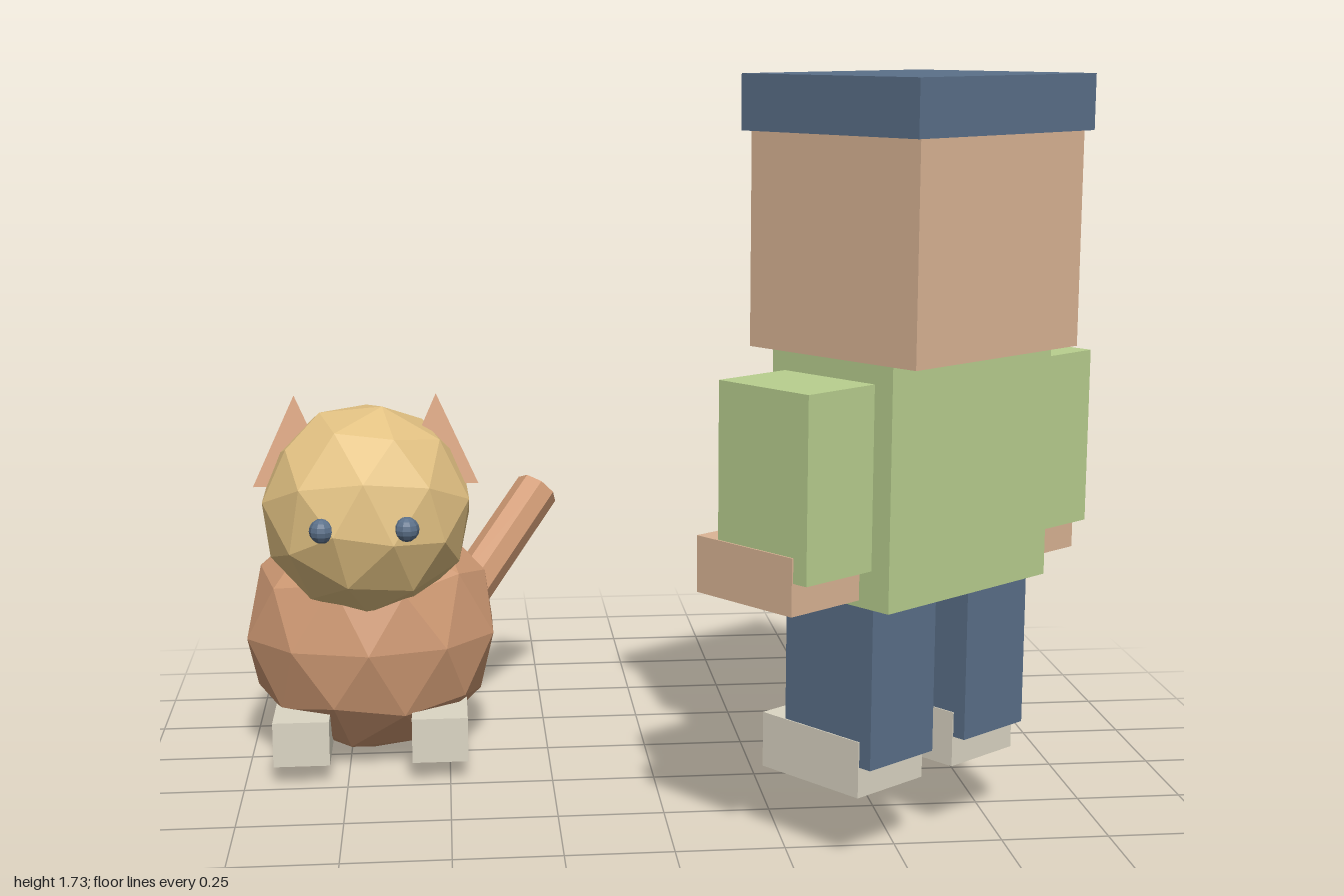
import * as THREE from 'three';

const mat = (color) => new THREE.MeshStandardMaterial({ color, flatShading: true });
const navy = mat(0x5b7089);
const skin = mat(0xdbb595);
const green = mat(0xb9d08f);
const cream = mat(0xdcd6c4);
const fur = mat(0xd09a74);
const faceFur = mat(0xe3c283);

function add(parent, name, geometry, material, x, y, z) {
  const mesh = new THREE.Mesh(geometry, material);
  mesh.name = name;
  mesh.position.set(x, y, z);
  parent.add(mesh);
  return mesh;
}

// Box given by its bottom and top heights
function block(parent, name, material, w, d, bottom, top, x = 0, z = 0) {
  return add(parent, name, new THREE.BoxGeometry(w, top - bottom, d), material, x, (bottom + top) / 2, z);
}

// Faceted ball with a vertex at each pole
function ball(rx, ry, rz) {
  const g = new THREE.IcosahedronGeometry(1, 1);
  g.rotateX(-Math.atan((1 + Math.sqrt(5)) / 2));
  g.rotateY(Math.PI / 2);
  g.scale(rx, ry, rz);
  return g;
}

function createPerson() {
  const person = new THREE.Group();
  person.name = 'person';
  block(person, 'hat', navy, 0.58, 0.51, 1.61, 1.733);
  block(person, 'head', skin, 0.54, 0.486, 1.135, 1.61);
  block(person, 'torso', green, 0.53, 0.352, 0.602, 1.135);
  for (const [side, s] of [['left', 1], ['right', -1]]) {
    block(person, side + 'Eye', navy, 0.063, 0.04, 1.35, 1.415, s * 0.118, 0.243);
    block(person, side + 'Sleeve', green, 0.2, 0.264, 0.69, 1.094, s * 0.372);
    block(person, side + 'Hand', skin, 0.208, 0.288, 0.618, 0.745, s * 0.372, 0.05);
    block(person, side + 'Leg', navy, 0.206, 0.258, 0.24, 0.604, s * 0.158);
    block(person, side + 'Shoe', cream, 0.212, 0.294, 0.17, 0.298, s * 0.158, 0.05);
  }
  person.position.set(0.54, 0, 0.408);
  person.rotation.y = Math.PI + 0.64;
  return person;
}

function createCat() {
  const cat = new THREE.Group();
  cat.name = 'cat';
  add(cat, 'body', ball(0.323, 0.32, 0.28), fur, 0, 0.326, -0.303);
  const head = add(cat, 'head', ball(0.263, 0.263, 0.263), faceFur, 0, 0.665, -0.172);
  head.rotation.x = -0.42;

  for (const [side, s] of [['left', 1], ['right', -1]]) {
    add(cat, side + 'Eye', new THREE.SphereGeometry(0.03, 10, 8), navy, s * 0.1, 0.662, 0.06);
    // Three-sided ears with a flat face to the front
    const ear = add(cat, side + 'Ear', new THREE.ConeGeometry(0.116, 0.215, 3), fur, s * 0.173, 0.8375, -0.194);
    ear.rotation.y = Math.PI;
    block(cat, side + 'Paw', cream, 0.137, 0.23, 0.052, 0.163, s * 0.169, -0.145);
  }

  // Straight tail rising out behind the body
  const start = new THREE.Vector3(0.19, 0.28, -0.495);
  const end = new THREE.Vector3(0.443, 0.583, -0.742);
  const axis = end.clone().sub(start);
  const tail = add(cat, 'tail', new THREE.CylinderGeometry(0.06, 0.06, axis.length(), 8), fur, 0, 0, 0);
  tail.position.copy(start).add(end).multiplyScalar(0.5);
  tail.quaternion.setFromUnitVectors(new THREE.Vector3(0, 1, 0), axis.normalize());

  cat.position.x = -0.693;
  return cat;
}

export function createModel() {
  const model = new THREE.Group();
  model.name = 'personAndCat';
  model.add(createPerson(), createCat());
  return model;
}
